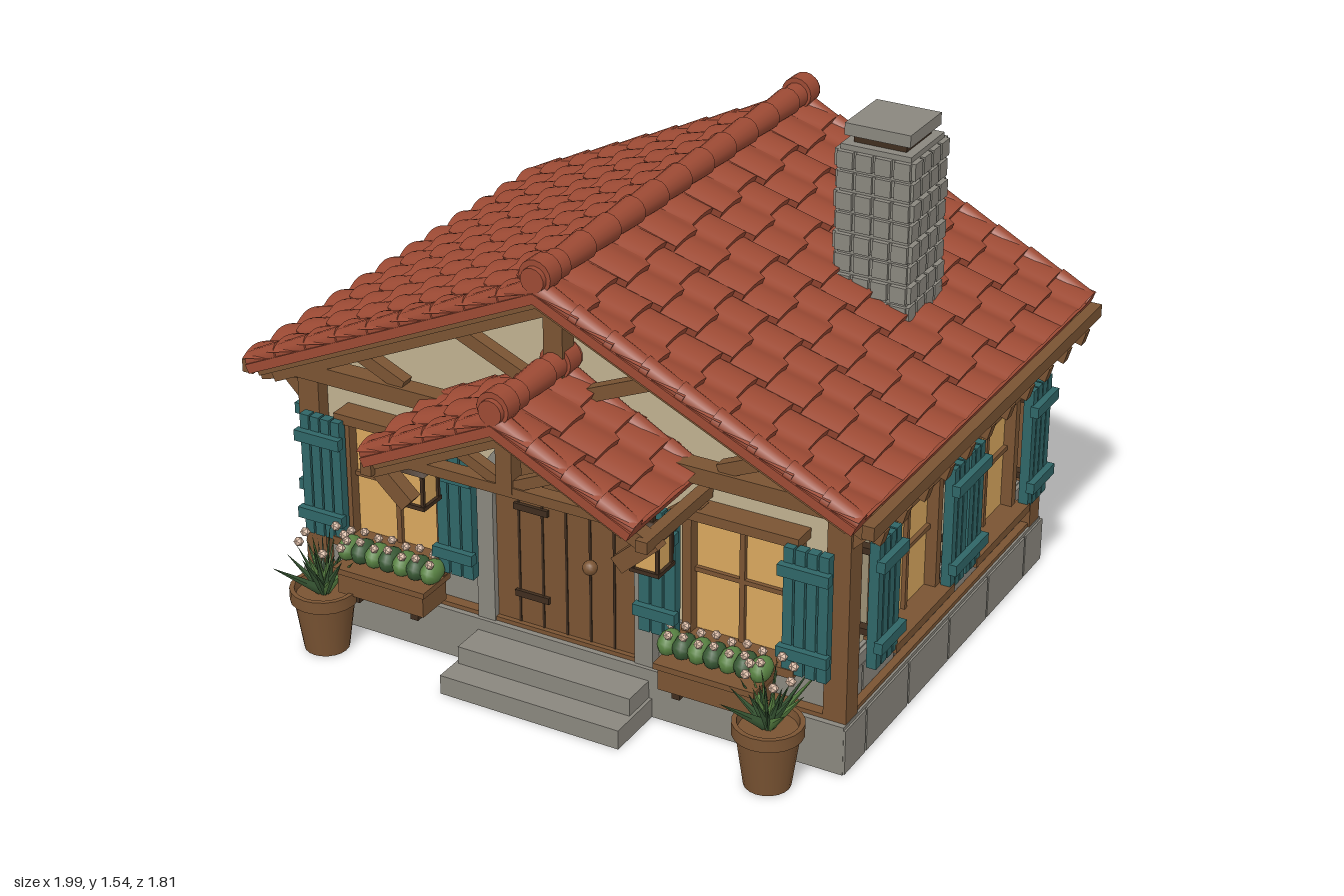
import * as THREE from 'three';
import { toCreasedNormals } from 'three/addons/utils/BufferGeometryUtils.js';

const paint = (name, color) => {
  const m = new THREE.MeshStandardMaterial({ color });
  m.name = name;
  return m;
};
const roofRed = paint('roof tile red', 0x9c4a34), stone = paint('stone grey', 0x8a877e);
const plaster = paint('plaster cream', 0xc0b190), timber = paint('timber brown', 0x7a5433);
const dark = paint('dark wood', 0x3f2d1e), teal = paint('shutter teal', 0x2f6667);
const amber = paint('window amber', 0xd9a75e), green = paint('hedge green', 0x5a8444);
const leafGreen = paint('leaf green', 0x3a5a36), petal = paint('petal pink', 0xdcbca6);

function group(parent, name, x = 0, y = 0, z = 0, ry = 0) {
  const g = new THREE.Group();
  g.name = name;
  g.position.set(x, y, z);
  g.rotation.y = ry;
  parent.add(g);
  return g;
}
function add(parent, name, geo, mat, x = 0, y = 0, z = 0) {
  const m = new THREE.Mesh(geo, mat);
  m.name = name;
  m.position.set(x, y, z);
  parent.add(m);
  return m;
}
const box = (p, name, mat, w, h, d, x, y, z) => add(p, name, new THREE.BoxGeometry(w, h, d), mat, x, y, z);
// straight timber between two points in a plane of constant z
function beam(p, name, mat, x0, y0, x1, y1, w, d, z) {
  const m = box(p, name, mat, Math.hypot(x1 - x0, y1 - y0), w, d, (x0 + x1) / 2, (y0 + y1) / 2, z);
  m.rotation.z = Math.atan2(y1 - y0, x1 - x0);
  return m;
}

// stepped rows of barrel tiles, x running down the slope
function tileSheet(L, W, rows, cols) {
  const nu = rows * 2 - 1, nv = cols * 8;
  const geo = new THREE.PlaneGeometry(1, 1, nu, nv).rotateX(-Math.PI / 2);
  const p = geo.attributes.position;
  for (let k = 0; k < p.count; k++) {
    const i = Math.round((p.getX(k) + 0.5) * nu), v = p.getZ(k) + 0.5;
    const row = i >> 1, low = i % 2, inner = i > 0 && i < nu;
    const stagger = inner && Math.floor(v * cols - 1e-4) % 2 ? 0.025 : 0;
    const barrel = 0.016 * Math.abs(Math.sin(Math.PI * v * cols));
    p.setXYZ(k, (row + low) / rows * L + stagger, (low ? 0.022 : 0.002) + barrel, (v - 0.5) * W);
  }
  return toCreasedNormals(geo, 0.6);
}

function gableRoof(parent, name, o) {
  const g = group(parent, name, 0, o.ridge, (o.z0 + o.z1) / 2);
  const W = o.z1 - o.z0, ang = Math.atan2(o.ridge - o.eave, o.half), L = Math.hypot(o.half, o.ridge - o.eave);
  for (const turn of [0, Math.PI]) {
    const slope = group(group(g, 'roofHalf', 0, 0, 0, turn), 'slope');
    slope.rotation.z = -ang;
    add(slope, 'tiles', tileSheet(L, W, o.rows, o.cols), roofRed);
    box(slope, 'tileBed', roofRed, L, 0.028, W, L / 2, -0.012, 0);
    box(slope, 'roofDeck', timber, L - 0.02, 0.016, W - 0.03, L / 2 - 0.01, -0.034, 0);
    // rounded verge tiles along both gable edges
    const seg = L / o.rows;
    for (const s of [-1, 1]) for (let i = 0; i < o.rows; i++) {
      const geo = new THREE.CylinderGeometry(0.026, 0.032, seg, 10).rotateZ(Math.PI / 2);
      const m = add(slope, 'vergeTile', geo, roofRed, (i + 0.5) * seg, 0.006, s * (W / 2 - 0.032));
      m.rotation.y = 0;
      m.rotation.x = 0;
      m.rotation.z = Math.PI;
    }
  }
  // ridge caps with a collar at every joint
  const n = o.caps, step = W / n;
  for (let i = 0; i < n; i++) {
    const geo = new THREE.CylinderGeometry(0.036, 0.043, step, 14).rotateX(Math.PI / 2);
    add(g, 'ridgeCap', geo, roofRed, 0, 0.04, -W / 2 + (i + 0.5) * step);
  }
  for (const s of [-1, 1])
    add(g, 'ridgeEnd', new THREE.CylinderGeometry(0.049, 0.049, 0.06, 16).rotateX(Math.PI / 2), roofRed, 0, 0.045, s * (W / 2 - 0.045));
}

// wall fittings are built facing +z with the wall face at z = 0
function windowUnit(wall, x) {
  const g = group(wall, 'window', x);
  box(g, 'glass', amber, 0.3, 0.37, 0.03, 0, 0.49, 0.01);
  for (const s of [-1, 1]) box(g, 'jamb', timber, 0.028, 0.38, 0.06, s * 0.158, 0.49, 0.03);
  box(g, 'lintel', timber, 0.37, 0.03, 0.075, 0, 0.685, 0.037);
  box(g, 'sill', timber, 0.38, 0.026, 0.1, 0, 0.297, 0.05);
  box(g, 'mullion', timber, 0.016, 0.37, 0.035, 0, 0.49, 0.02);
  box(g, 'glazingBar', timber, 0.3, 0.014, 0.035, 0, 0.5, 0.02);
}
function shutter(wall, x, w) {
  const g = group(wall, 'shutter', x), n = w > 0.12 ? 4 : 3;
  for (let i = 0; i < n; i++) box(g, 'plank', teal, w / n - 0.006, 0.385, 0.03, ((i + 0.5) / n - 0.5) * w, 0.49, 0.082);
  for (const y of [0.37, 0.62]) {
    box(g, 'batten', teal, w + 0.012, 0.034, 0.025, 0, y, 0.105);
    box(g, 'hinge', dark, 0.03, 0.02, 0.08, 0, y, 0.035);
  }
}
function courses(wall, len, rows) {
  for (const [y, h, n, z, shift] of rows) {
    const w = len / n;
    for (let i = 0; i < n + (shift ? 1 : 0); i++) {
      const a = Math.max(0, (i - shift) * w), b = Math.min(len, (i + 1 - shift) * w);
      box(wall, 'stoneBlock', stone, b - a - 0.008, h, 0.03, (a + b - len) / 2, y, z - 0.012);
    }
  }
}
function archShape(r, y0, yc) {
  const s = new THREE.Shape();
  s.moveTo(-r, y0).lineTo(r, y0).lineTo(r, yc).absarc(0, yc, r, 0, Math.PI, false).lineTo(-r, y0);
  return s;
}
const extrude = (s, depth) => new THREE.ExtrudeGeometry(s, { depth, bevelEnabled: false, curveSegments: 20 });

function pottedPlant(parent, x, z) {
  const g = group(parent, 'pottedPlant', x, 0, z);
  const pts = [[0, 0], [0.066, 0], [0.088, 0.155], [0.1, 0.16], [0.1, 0.198], [0.086, 0.198], [0.082, 0.175], [0, 0.175]];
  const pot = new THREE.LatheGeometry(pts.map(p => new THREE.Vector2(...p)), 20);
  add(g, 'pot', toCreasedNormals(pot, 0.6), timber);
  for (let i = 0; i < 26; i++) {
    const len = 0.13 + 0.025 * (i % 4), leaf = new THREE.ConeGeometry(0.017, len, 4).scale(1, 1, 0.45).translate(0, len / 2, 0);
    const m = add(g, 'leaf', leaf, i % 3 ? leafGreen : green, 0, 0.18, 0);
    m.rotation.set(0, i * 2.4, -(0.15 + 0.85 * ((i * 7) % 26) / 26), 'YXZ');
  }
  for (let i = 0; i < 6; i++)
    add(g, 'blossom', new THREE.IcosahedronGeometry(0.015, 0), petal, 0.065 * Math.cos(i * 2.4), 0.34 + 0.012 * (i % 3), 0.065 * Math.sin(i * 2.4));
}

export function createModel() {
  const house = new THREE.Group();
  house.name = 'cottage';

  // plinth, wainscot and plastered body
  box(house, 'plinth', stone, 1.764, 0.152, 1.334, 0, 0.076, -0.105);
  box(house, 'wainscot', stone, 1.684, 0.15, 1.244, 0, 0.225, -0.11);
  box(house, 'soleTimber', timber, 1.75, 0.014, 1.31, 0, 0.158, -0.11);
  const body = new THREE.Shape([[-0.83, 0.1], [0.83, 0.1], [0.83, 0.84], [0, 1.225], [-0.83, 0.84]].map(p => new THREE.Vector2(...p)));
  add(house, 'plasterWalls', extrude(body, 1.22), plaster, 0, 0, -0.72);
  for (const x of [-0.845, 0.845]) for (const z of [0.51, -0.73])
    box(house, 'cornerPost', timber, 0.07, 0.7, 0.07, x, 0.46, z);

  // four walls with their openings and stone courses
  const front = group(house, 'frontWall', 0, 0, 0.5), back = group(house, 'backWall', 0, 0, -0.72, Math.PI);
  const sides = [1, -1].map(s => group(house, 'sideWall', s * 0.83, 0, -0.11, s * Math.PI / 2));
  for (const [wall, len, n] of [[front, 1.78, 5], [back, 1.78, 6], [sides[0], 1.35, 5], [sides[1], 1.35, 5]])
    courses(wall, len, [[0.073, 0.138, n, 0.055, 0.5]]);
  for (const [wall, len, n] of [[back, 1.6, 8], [sides[0], 1.2, 6], [sides[1], 1.2, 6]])
    courses(wall, len, [[0.21, 0.085, n, 0.02, 0.5], [0.276, 0.038, n, 0.02, 0]]);
  for (const wall of sides) {
    for (const s of [-1, 1]) {
      windowUnit(wall, s * 0.265);
      shutter(wall, s * 0.51, 0.14);
      shutter(wall, s * 0.054, 0.1);
    }
  }
  for (const x of [-0.53, 0, 0.53]) windowUnit(back, x);
  for (const s of [-1, 1]) {
    shutter(back, s * 0.775, 0.14);
    for (const d of [-0.054, 0.054]) shutter(back, s * 0.265 + d, 0.1);
    windowUnit(front, s * 0.555);
    shutter(front, s * 0.775, 0.14);
    shutter(front, s * 0.325, 0.12);
    // window boxes with a clipped hedge and blossoms
    const f = group(front, 'flowerBox', s * 0.525, 0, 0.13);
    box(f, 'planter', timber, 0.29, 0.075, 0.12, 0, 0.228, 0);
    box(f, 'planterRim', timber, 0.31, 0.018, 0.14, 0, 0.267, 0);
    for (const b of [-0.1, 0.1]) box(f, 'bracket', dark, 0.025, 0.04, 0.12, b, 0.18, -0.02);
    for (let i = 0; i < 7; i++) {
      add(f, 'hedge', new THREE.SphereGeometry(0.036, 10, 8).scale(0.85, 1, 1.3), i % 2 ? leafGreen : green, (i - 3) * 0.047, 0.31, 0);
      for (const z of [-0.025, 0.03])
        add(f, 'blossom', new THREE.IcosahedronGeometry(0.014, 0), petal, (i - 3) * 0.047 + z * 0.4, 0.35 + 0.008 * (i % 2), z);
    }
    pottedPlant(house, s * 0.72, 0.69);
  }

  // arched door
  const surround = archShape(0.285, 0.12, 0.52);
  surround.holes.push(archShape(0.228, 0.125, 0.535));
  const door = group(front, 'door');
  add(door, 'stoneSurround', extrude(surround, 0.05), stone);
  add(door, 'doorLeaf', extrude(archShape(0.23, 0.125, 0.535), 0.03), timber);
  for (let i = -2; i <= 2; i++) {
    const x = i * 0.077, top = 0.535 + Math.sqrt(0.228 ** 2 - x * x);
    box(door, 'plankGap', dark, 0.007, top - 0.13, 0.004, x, (top + 0.13) / 2, 0.031);
  }
  for (const y of [0.26, 0.54]) box(door, 'strapHinge', dark, 0.11, 0.02, 0.012, -0.11, y, 0.035);
  add(door, 'doorKnob', new THREE.SphereGeometry(0.022, 12, 8), timber, 0.09, 0.42, 0.055);
  box(house, 'lowerStep', stone, 0.58, 0.06, 0.2, 0, 0.03, 0.65);
  box(house, 'upperStep', stone, 0.56, 0.115, 0.12, 0, 0.0575, 0.61);

  // main roof, gable trusses and eaves timber
  gableRoof(house, 'mainRoof', { ridge: 1.285, eave: 0.845, half: 0.955, z0: -0.905, z1: 0.685, rows: 9, cols: 12, caps: 12 });
  for (const z of [0.555, -0.775]) {
    const t = group(house, 'gableTruss');
    box(t, 'tieBeam', timber, 1.94, 0.05, 0.06, 0, 0.815, z);
    box(t, 'kingPost', timber, 0.06, 0.4, 0.06, 0, 1.03, z);
    for (const s of [-1, 1]) {
      beam(t, 'rafter', timber, 0, 1.215, s * 0.94, 0.782, 0.055, 0.062, z);
      beam(t, 'strut', timber, s * 0.02, 0.93, s * 0.37, 1.08, 0.04, 0.04, z);
      beam(t, 'outerStrut', timber, s * 0.5, 0.84, s * 0.68, 0.92, 0.04, 0.04, z);
      beam(t, 'kneeBrace', timber, s * 0.85, 0.69, s * 0.95, 0.79, 0.04, 0.05, z > 0 ? 0.51 : -0.73);
    }
  }
  for (const s of [-1, 1]) {
    box(house, 'eavesBeam', timber, 0.035, 0.04, 1.53, s * 0.975, 0.822, -0.115);
    box(house, 'wallPlate', timber, 0.05, 0.04, 1.36, s * 0.845, 0.82, -0.11);
    for (let i = 0; i < 11; i++) beam(house, 'rafterTail', timber, s * 0.82, 0.82, s * 0.985, 0.772, 0.045, 0.032, 0.565 - i * 0.135);
  }

  // porch canopy with open truss, braces and lanterns
  gableRoof(house, 'porchRoof', { ridge: 0.995, eave: 0.79, half: 0.42, z0: 0.5, z1: 0.905, rows: 4, cols: 3, caps: 3 });
  const porch = group(house, 'porchFrame');
  box(porch, 'tieBeam', timber, 0.68, 0.03, 0.045, 0, 0.775, 0.82);
  box(porch, 'kingPost', timber, 0.05, 0.2, 0.05, 0, 0.87, 0.82);
  for (const s of [-1, 1]) {
    beam(porch, 'rafter', timber, 0, 0.935, s * 0.43, 0.725, 0.045, 0.05, 0.82);
    beam(porch, 'strut', timber, s * 0.02, 0.79, s * 0.17, 0.86, 0.032, 0.035, 0.82);
    box(porch, 'purlin', timber, 0.035, 0.035, 0.36, s * 0.43, 0.735, 0.685);
    beam(porch, 'brace', timber, s * 0.44, 0.73, s * 0.33, 0.63, 0.05, 0.045, 0.8);
    beam(porch, 'wallBrace', timber, s * 0.43, 0.72, s * 0.33, 0.64, 0.04, 0.04, 0.54);
    const l = group(porch, 'lantern', s * 0.37, 0, 0.7);
    box(l, 'lampGlass', amber, 0.07, 0.1, 0.07, 0, 0.635, 0);
    box(l, 'lampBase', dark, 0.09, 0.012, 0.09, 0, 0.58, 0);
    add(l, 'lampHood', new THREE.CylinderGeometry(0.02, 0.07, 0.035, 4).rotateY(Math.PI / 4), dark, 0, 0.7, 0);
    box(l, 'lampHook', dark, 0.014, 0.06, 0.014, 0, 0.74, 0);
    for (const a of [-1, 1]) for (const b of [-1, 1]) box(l, 'lampBar', dark, 0.01, 0.11, 0.01, a * 0.037, 0.635, b * 0.037);
  }

  // chimney with rows of projecting stones
  const ch = group(house, 'chimney', 0.555, 0, -0.325);
  box(ch, 'chimneyCore', stone, 0.215, 0.54, 0.215, 0, 1.21, 0);
  for (let r = 0; r < 8; r++) for (let i = 0; i < 4; i++) {
    const y = 0.98 + r * 0.062, off = (i - 1.5) * 0.058, grow = r % 2 * 0.008;
    box(ch, 'chimneyStone', stone, 0.048, 0.05, 0.238 + grow, off, y + 0.025, 0);
    box(ch, 'chimneyStone', stone, 0.238 + grow, 0.05, 0.048, 0, y + 0.025, off);
  }
  box(ch, 'flueCollar', dark, 0.16, 0.04, 0.16, 0, 1.492, 0);
  box(ch, 'chimneyCap', stone, 0.2, 0.036, 0.2, 0, 1.522, 0);
  return house;
}
